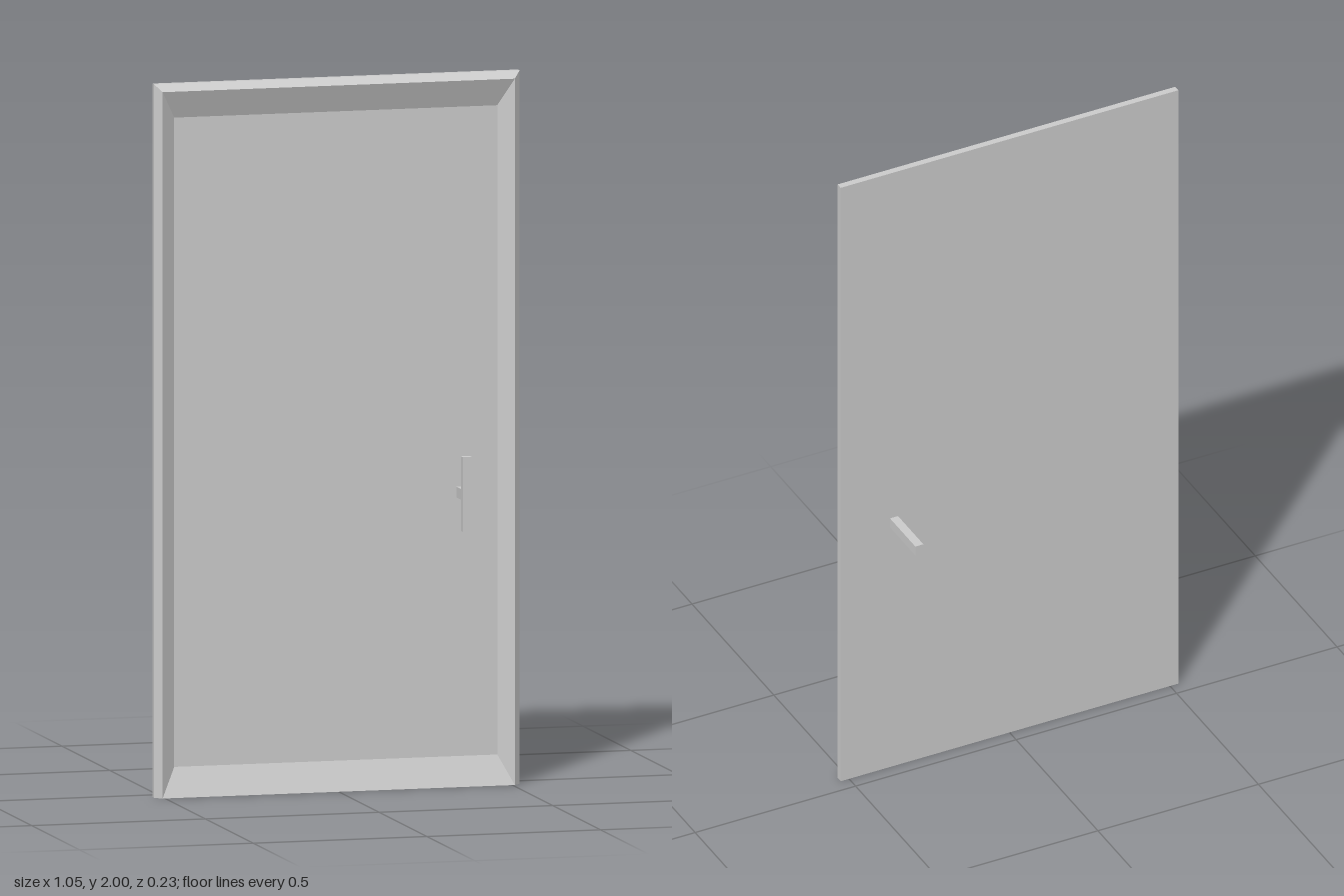
import * as THREE from 'three';

const material = new THREE.MeshStandardMaterial({ color: 0xcccccc, flatShading: true });

// Rectangular ring, counter-clockwise seen from the front
const ring = (halfWidth, bottom, top, z) => [
  [-halfWidth, bottom, z], [halfWidth, bottom, z], [halfWidth, top, z], [-halfWidth, top, z],
];

// Joins successive rings with quads and caps both ends
function loftRings(rings) {
  const positions = [];
  const quad = (a, b, c, d) => positions.push(...a, ...b, ...c, ...a, ...c, ...d);
  for (let r = 0; r < rings.length - 1; r++) {
    for (let i = 0; i < 4; i++) {
      const j = (i + 1) % 4;
      quad(rings[r][i], rings[r][j], rings[r + 1][j], rings[r + 1][i]);
    }
  }
  quad(...[...rings[0]].reverse());
  quad(...rings[rings.length - 1]);
  const geometry = new THREE.BufferGeometry();
  geometry.setAttribute('position', new THREE.Float32BufferAttribute(positions, 3));
  geometry.computeVertexNormals();
  return geometry;
}

function addMesh(parent, name, geometry, x = 0, y = 0, z = 0) {
  const mesh = new THREE.Mesh(geometry, material);
  mesh.name = name;
  mesh.position.set(x, y, z);
  parent.add(mesh);
}

export function createModel() {
  const door = new THREE.Group();
  door.name = 'door';

  // Slab: flat back, chamfered rim, bevel sinking to a recessed front panel
  addMesh(door, 'doorPanel', loftRings([
    ring(0.526, 0, 2, 0.04),
    ring(0.526, 0, 2, 0.059),
    ring(0.507, 0, 1.98, 0.078),
    ring(0.465, 0.083, 1.903, 0.047),
  ]));

  // Handle: a post through the door and an upright grip on the front
  const handle = new THREE.Group();
  handle.name = 'handle';
  addMesh(handle, 'handlePost', new THREE.BoxGeometry(0.025, 0.03, 0.208), 0.36, 0.823, -0.011);
  addMesh(handle, 'handleGrip', new THREE.BoxGeometry(0.025, 0.21, 0.022), 0.36, 0.825, 0.104);
  door.add(handle);

  return door;
}
